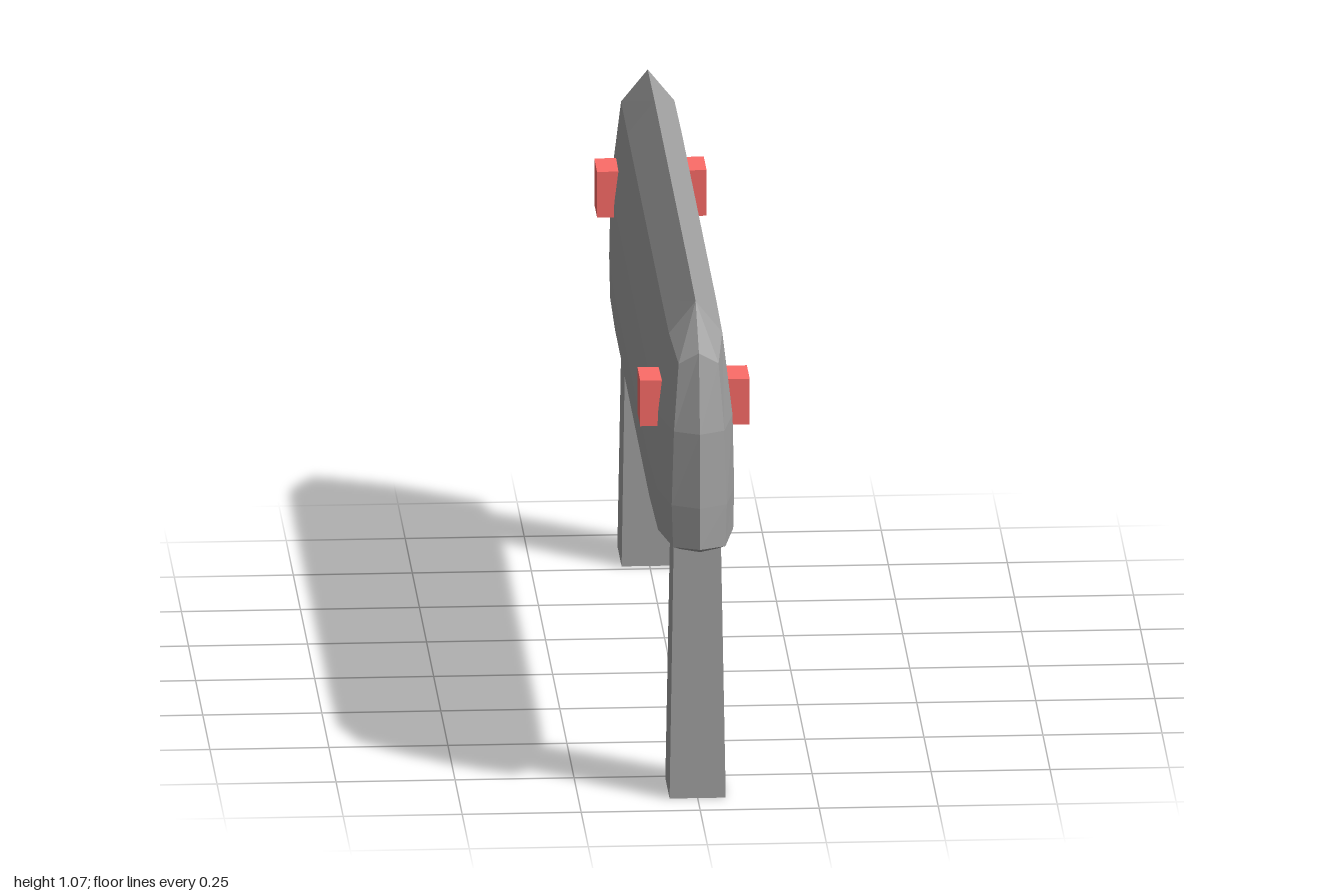
import * as THREE from 'three';

const grey = new THREE.MeshStandardMaterial({ color: 0xa0a0a0, flatShading: true });
const red = new THREE.MeshStandardMaterial({ color: 0xfd6c68, flatShading: true });

// Plan outline at one level: tip, end corner, shoulder and mid points, mirrored to all quarters.
function ring([tip, end, side, mid]) {
  const flip = (p, sx, sz) => [p[0] * sx, p[1], p[2] * sz];
  return [
    tip, end, side, mid,
    ...[mid, side, end, tip].map(p => flip(p, 1, -1)),
    ...[end, side, mid].map(p => flip(p, -1, -1)),
    ...[mid, side, end].map(p => flip(p, -1, 1)),
  ];
}

// Stacked rings joined with quads; collapsed triangles are skipped.
function loft(levels) {
  const rings = levels.map(ring);
  const pos = [];
  const tri = (a, b, c) => {
    const [A, B, C] = [a, b, c].map(p => new THREE.Vector3(...p));
    if (B.sub(A).cross(C.sub(A)).length() > 1e-7) pos.push(...a, ...b, ...c);
  };
  for (let i = 0; i < rings.length - 1; i++) {
    const lo = rings[i], hi = rings[i + 1], n = lo.length;
    for (let j = 0; j < n; j++) {
      const k = (j + 1) % n;
      tri(lo[j], lo[k], hi[k]);
      tri(lo[j], hi[k], hi[j]);
    }
  }
  const g = new THREE.BufferGeometry();
  g.setAttribute('position', new THREE.Float32BufferAttribute(pos, 3));
  g.computeVertexNormals();
  return g;
}

function add(group, name, geometry, material, x, y, z) {
  const m = new THREE.Mesh(geometry, material);
  m.name = name;
  m.position.set(x, y, z);
  group.add(m);
}

export function createModel() {
  const model = new THREE.Group();
  model.name = 'barrier';

  // Tall narrow panel with bevelled ends and a pointed top ridge
  const panel = loft([
    [[0, 0.556, 0.97], [0, 0.556, 0.95], [0, 0.556, 0.84], [0, 0.556, 0.6]],
    [[0, 0.558, 0.975], [0.04, 0.558, 0.95], [0.056, 0.558, 0.84], [0.058, 0.558, 0.6]],
    [[0, 0.57, 1], [0.055, 0.568, 0.968], [0.079, 0.568, 0.84], [0.083, 0.57, 0.6]],
    [[0, 0.66, 1], [0.058, 0.66, 0.969], [0.081, 0.66, 0.84], [0.086, 0.66, 0.6]],
    [[0, 0.82, 0.992], [0.053, 0.82, 0.965], [0.077, 0.82, 0.85], [0.08, 0.82, 0.6]],
    [[0, 0.988, 0.957], [0.042, 0.962, 0.945], [0.056, 0.998, 0.84], [0.057, 1.0, 0.6]],
    [[0, 1.067, 0.84], [0, 1.067, 0.84], [0, 1.067, 0.84], [0, 1.071, 0.6]],
  ]);
  add(model, 'panel', panel, grey, 0, 0, 0);

  // Tapered square legs
  const legHeight = 0.6;
  const leg = new THREE.BoxGeometry(0.118, legHeight, 0.148);
  const p = leg.attributes.position;
  for (let i = 0; i < p.count; i++) {
    if (p.getY(i) > 0) p.setXYZ(i, p.getX(i) * 0.83, p.getY(i), p.getZ(i) * 0.82);
  }
  add(model, 'frontLeg', leg, grey, 0, legHeight / 2, 0.838);
  add(model, 'backLeg', leg, grey, 0, legHeight / 2, -0.845);

  // Red reflector blocks on both faces
  const block = new THREE.BoxGeometry(0.06, 0.1, 0.098);
  for (const [side, s] of [['left', 1], ['right', -1]]) {
    add(model, side + 'FrontReflector', block, red, s * 0.085, 0.838, 0.768);
    add(model, side + 'BackReflector', block, red, s * 0.085, 0.838, -0.745);
  }
  return model;
}
